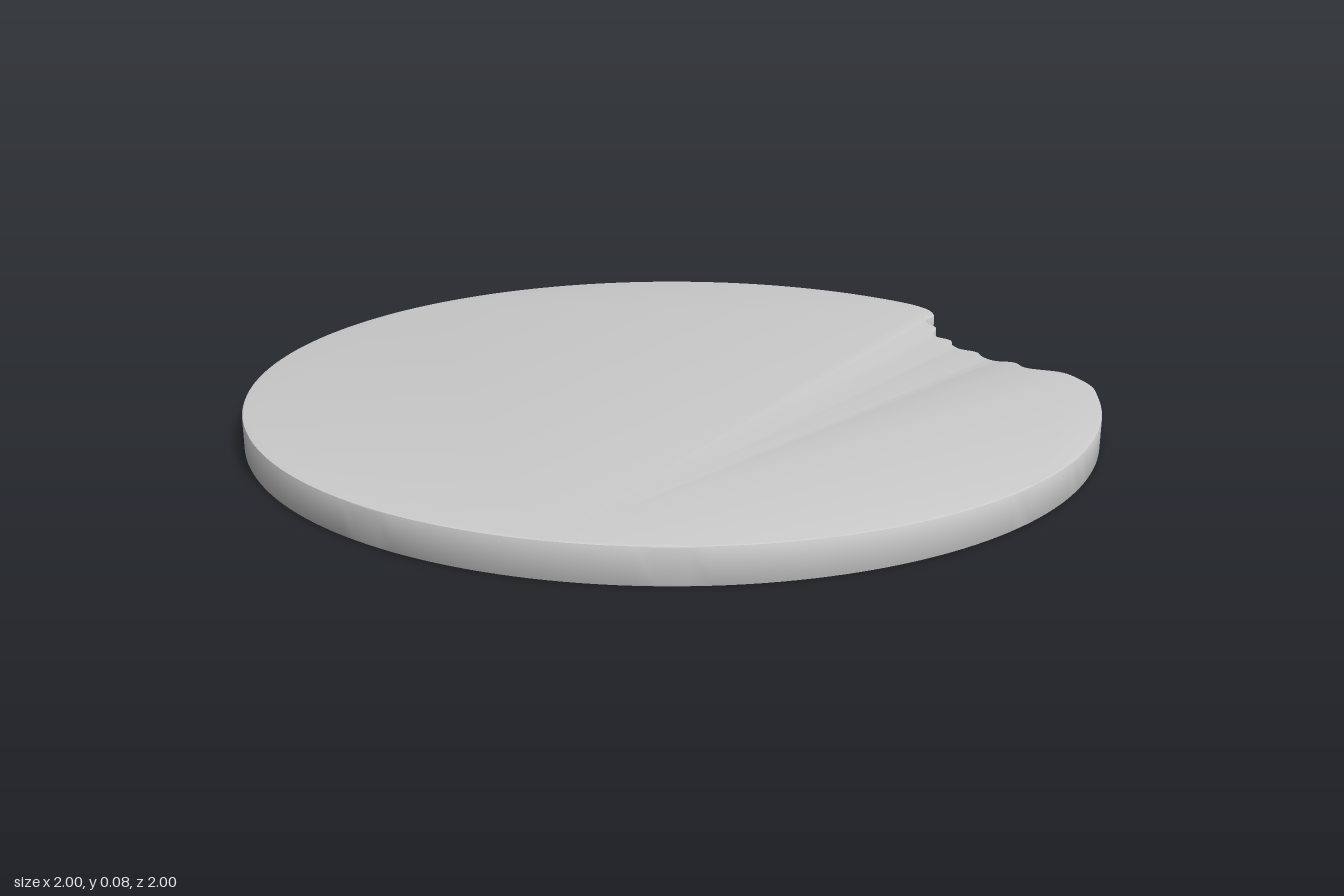
import * as THREE from 'three';
import { toCreasedNormals } from 'three/addons/utils/BufferGeometryUtils.js';

const THICKNESS = 0.08;
const BEVEL = 0.004;

// Scalloped bite edge, from the back rim round to the left rim
const BITE = [
  [0.375, 0.927], [0.433, 0.898], [0.48, 0.856], [0.503, 0.797], [0.49, 0.75], [0.503, 0.711],
  [0.527, 0.68], [0.53, 0.62], [0.545, 0.588], [0.583, 0.567], [0.594, 0.524],
  [0.62, 0.492], [0.663, 0.476], [0.684, 0.438], [0.717, 0.412], [0.765, 0.412],
  [0.8, 0.374], [0.882, 0.364], [0.925, 0.326], [0.963, 0.267], [0.98, 0.199],
];

// Round outline with the bite taken out
function bittenOutline() {
  const bite = new THREE.SplineCurve(BITE.map(([x, y]) => new THREE.Vector2(x, y))).getPoints(120);
  const first = bite[0], last = bite[bite.length - 1];
  const from = Math.atan2(last.y, last.x);
  const to = Math.atan2(first.y, first.x) - 2 * Math.PI;
  const steps = 160;
  const rim = [];
  for (let i = 1; i < steps; i++) {
    const a = from + (to - from) * i / steps;
    rim.push(new THREE.Vector2(Math.cos(a), Math.sin(a)));
  }
  return new THREE.Shape([...bite, ...rim].reverse());
}

export function createModel() {
  const group = new THREE.Group();
  group.name = 'bittenDisc';

  // Flat slab with finely softened edges, laid down on the ground
  const slab = new THREE.ExtrudeGeometry(bittenOutline(), {
    depth: THICKNESS - 2 * BEVEL,
    bevelEnabled: true,
    bevelThickness: BEVEL,
    bevelSize: BEVEL,
    bevelOffset: -BEVEL,
    bevelSegments: 2,
  });
  slab.rotateX(-Math.PI / 2);
  slab.translate(0, BEVEL, 0);

  const disc = new THREE.Mesh(
    toCreasedNormals(slab, Math.PI / 7),
    new THREE.MeshStandardMaterial({ color: 0xcccccc })
  );
  disc.name = 'disc';
  group.add(disc);
  return group;
}
